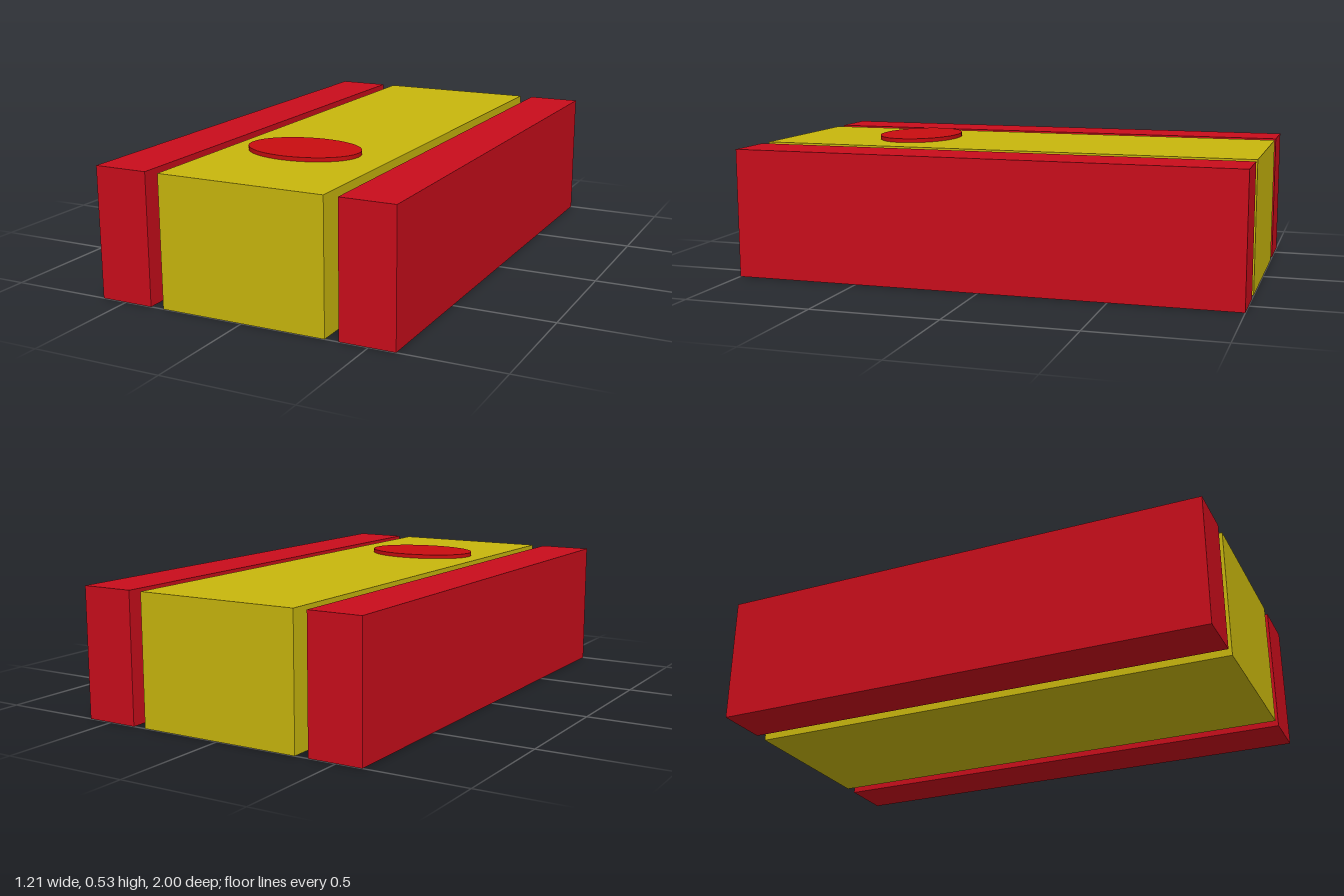
import * as THREE from 'three';

const HEIGHT = 0.512;
const LENGTH = 2;

export function createModel() {
  const model = new THREE.Group();
  const red = new THREE.MeshStandardMaterial({ color: 0xc90d1b });
  const yellow = new THREE.MeshStandardMaterial({ color: 0xc8b60d });
  const buttonRed = new THREE.MeshStandardMaterial({ color: 0xc90d10 });

  const addPart = (name, geometry, material, x, y, z) => {
    const mesh = new THREE.Mesh(geometry, material);
    mesh.name = name;
    mesh.position.set(x, y, z);
    model.add(mesh);
    return mesh;
  };

  // Central block
  addPart('centreBlock', new THREE.BoxGeometry(0.666, HEIGHT, LENGTH), yellow, 0, HEIGHT / 2, 0);

  // Matching side rails, separated from the block by narrow gaps
  for (const [name, side] of [['leftRail', 1], ['rightRail', -1]]) {
    addPart(name, new THREE.BoxGeometry(0.215, HEIGHT, LENGTH), red, side * 0.495, HEIGHT / 2, 0);
  }

  // Thin oval button, slightly sunk into the top of the block
  const button = addPart('ovalButton', new THREE.CylinderGeometry(1, 1, 0.026, 64), buttonRed, -0.03, 0.515, 0.465);
  button.scale.set(0.23, 1, 0.163);

  return model;
}
